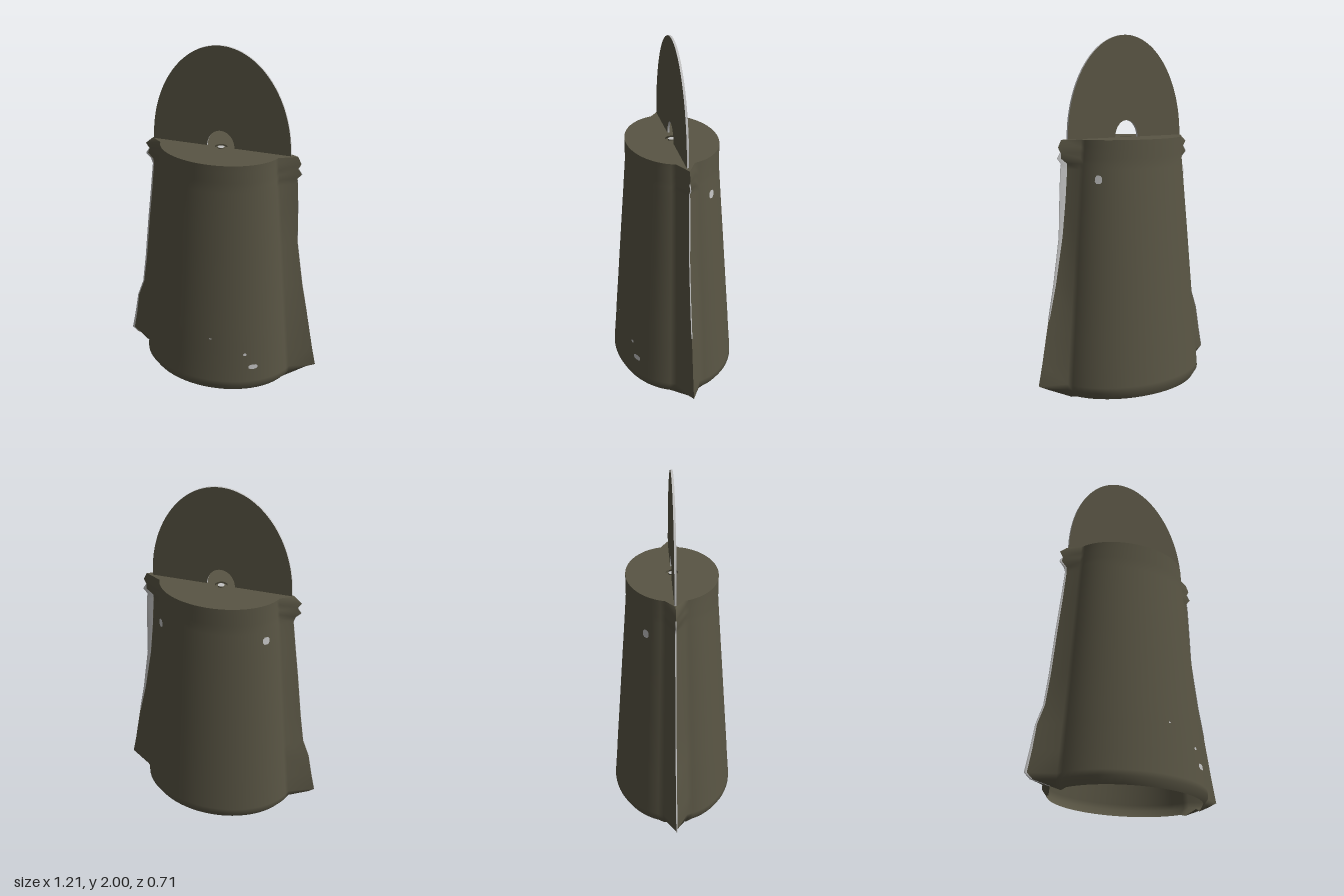
import * as THREE from 'three';

const bronze = new THREE.MeshStandardMaterial({ color: 0x595544, side: THREE.DoubleSide });
bronze.name = 'dark bronze';
const bare = new THREE.MeshStandardMaterial({ color: 0xc2c2c2, side: THREE.DoubleSide });
bare.name = 'bare metal';

// Body rows: height, half width, half depth, fin tip at +x, fin tip at -x,
// and how far the overlapped half stops short of the tip at +x and at -x
const rows = [
  [0.01, 0.44, 0.335, 0.46, 0.46, 0, 0.006],
  [0.05, 0.47, 0.355, 0.55, 0.57, 0, 0.012],
  [0.08, 0.468, 0.353, 0.605, 0.605, 0, 0.012],
  [0.20, 0.458, 0.343, 0.58, 0.58, 0, 0.01],
  [0.34, 0.446, 0.333, 0.555, 0.555, 0, 0.006],
  [0.45, 0.436, 0.324, 0.535, 0.515, 0.005, 0.006],
  [0.63, 0.42, 0.31, 0.50, 0.49, 0.012, 0.008],
  [0.90, 0.397, 0.289, 0.46, 0.46, 0.02, 0.008],
  [1.10, 0.379, 0.273, 0.453, 0.435, 0.035, 0.008],
  [1.27, 0.364, 0.26, 0.445, 0.415, 0.04, 0.006],
  [1.30, 0.36, 0.258, 0.44, 0.425, 0.035, 0.012],
  [1.33, 0.357, 0.258, 0.465, 0.455, 0.02, 0.012],
  [1.36, 0.355, 0.258, 0.445, 0.435, 0, 0],
  [1.39, 0.352, 0.258, 0.46, 0.455, 0, 0],
  [1.43, 0.35, 0.258, 0.44, 0.41, 0, 0],
];
const ROOT = 0.197; // angle at which the wall meets the fin
const TOP = 1.43;

// Sheet through one cross-section line per row
function loft(sections) {
  const n = sections[0].length, index = [];
  for (let i = 0; i < sections.length - 1; i++) {
    for (let j = 0; j < n - 1; j++) {
      const a = i * n + j, b = a + n;
      index.push(a, b, a + 1, a + 1, b, b + 1);
    }
  }
  const g = new THREE.BufferGeometry();
  g.setAttribute('position', new THREE.Float32BufferAttribute(sections.flat(2), 3));
  g.setIndex(index);
  g.computeVertexNormals();
  return g;
}

// Curved wall points of one row, from the +x fin to the -x fin
function wallLine([y, rx, rz], side, n = 28) {
  return Array.from({ length: n + 1 }, (_, i) => {
    const t = ROOT + (Math.PI - 2 * ROOT) * i / n;
    const drop = y < 0.02 && (i === 0 || i === n) ? 0.01 : 0;
    return [rx * Math.cos(t), y - drop, side * rz * Math.sin(t)];
  });
}

// Small worn patch lying on the wall: angle, height, angular width, height of patch
function chip(side, angle, y, spread, height) {
  return loft([-1, -0.5, 0.5, 1].map(v => {
    const h = y + v * height / 2;
    const i = rows.findIndex(r => r[0] > h);
    const a = rows[i - 1], b = rows[i], k = (h - a[0]) / (b[0] - a[0]);
    const rx = THREE.MathUtils.lerp(a[1], b[1], k) + 0.004;
    const rz = THREE.MathUtils.lerp(a[2], b[2], k) + 0.004;
    const w = spread / 2 * (Math.abs(v) === 1 ? 0.5 : 1);
    return [-1, 0, 1].map(u => [
      rx * Math.cos(angle + u * w), h, side * rz * Math.sin(angle + u * w),
    ]);
  }));
}

export function createModel() {
  const model = new THREE.Group();
  model.name = 'bell';
  const add = (name, geometry, material = bronze) => {
    const mesh = new THREE.Mesh(geometry, material);
    mesh.name = name;
    model.add(mesh);
    return mesh;
  };

  // Front and back halves, each one smooth sheet that runs out into the fins
  for (const side of [1, -1]) {
    add(side > 0 ? 'frontHalf' : 'backHalf', loft(rows.map(r => {
      const lift = r[0] < 0.02 ? 0.02 : 0;
      const left = r[3] - (side < 0 ? r[5] : 0);
      const right = r[4] - (side > 0 ? r[6] : 0);
      return [[left, r[0] + lift, 0], ...wallLine(r, side), [-right, r[0] + lift, 0]];
    })));
  }

  // Bare overlap along each seam: seen from behind at +x, from the front at -x
  for (const dir of [1, -1]) {
    const seam = rows.filter(r => (dir > 0 ? r[0] > 0.4 : true) && r[0] < 1.37);
    add(dir > 0 ? 'leftSeam' : 'rightSeam', loft(seam.map(r => {
      const tip = dir > 0 ? r[3] : r[4], gap = dir > 0 ? r[5] : r[6];
      const y = r[0] + (r[0] < 0.02 ? 0.02 : 0);
      return [
        [dir * (tip + 0.001), y, dir * 0.003],
        [dir * (tip + 0.001), y, -dir * 0.003],
        [dir * (tip - gap), y, -dir * 0.004],
      ];
    })), bare);
  }

  // Worn patches
  const chips = [
    [1, 0.889, 0.18, 0.13, 0.03],
    [1, 1.0, 0.268, 0.045, 0.016],
    [1, 1.46, 0.365, 0.03, 0.008],
    [-1, 0.614, 1.218, 0.13, 0.045],
    [-1, Math.PI - 0.614, 1.218, 0.13, 0.045],
  ];
  for (const c of chips) add('wornPatch', chip(...c), bare);

  // Flat top following the upper outline
  const last = rows[rows.length - 1];
  const outline = [
    [last[3], 0, 0], ...wallLine(last, 1), [-last[4], 0, 0], ...wallLine(last, -1).reverse(),
  ].map(p => new THREE.Vector2(p[0], -p[2]));
  const capShape = new THREE.Shape(outline);
  capShape.holes.push(new THREE.Path().absarc(0, 0, 0.035, 0, Math.PI * 2, true));
  add('topCap', new THREE.ShapeGeometry(capShape).rotateX(-Math.PI / 2).translate(0, TOP, 0));

  // Thin arched handle with a small arched opening and bare edges
  const arch = new THREE.Shape();
  arch.moveTo(0.4, 0);
  arch.absellipse(0, 0, 0.4, 0.57, 0, Math.PI, false, 0);
  arch.lineTo(-0.08, 0);
  arch.absellipse(0, 0, 0.08, 0.095, Math.PI, 0, true, 0);
  arch.closePath();
  const handle = new THREE.ExtrudeGeometry(arch, { depth: 0.012, bevelEnabled: false, curveSegments: 40 });
  add('handle', handle.translate(0, TOP, -0.006), [bronze, bare]);

  // Clapper block on a rod, with the bare rod end showing in the cap hole
  add('clapper', new THREE.BoxGeometry(0.1, 0.22, 0.1)).position.y = 0.25;
  add('clapperRod', new THREE.CylinderGeometry(0.035, 0.035, TOP - 0.36, 12)).position.y = (TOP + 0.34) / 2;
  add('clapperPin', new THREE.CylinderGeometry(0.02, 0.02, 0.008, 8)).position.y = TOP - 0.006;
  add('rodEnd', new THREE.CircleGeometry(0.02, 8).rotateX(-Math.PI / 2), bare).position.y = TOP - 0.001;

  return model;
}
